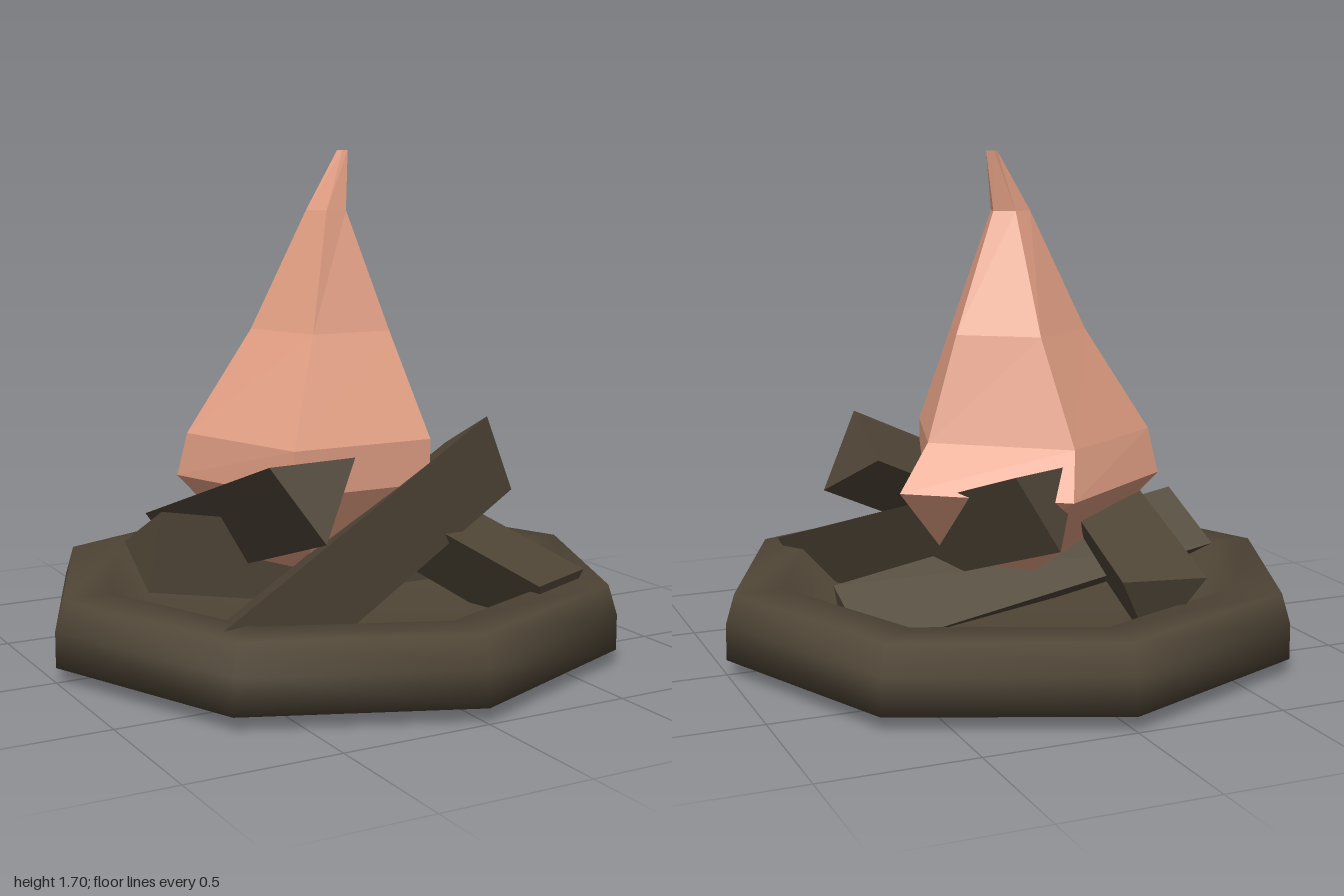
import * as THREE from 'three';
import { ConvexGeometry } from 'three/addons/geometries/ConvexGeometry.js';

// Faceted skin through equal-length rings (ordered clockwise from above), capped at both ends
function loft(rings) {
  const pos = [];
  const tri = (a, b, c) => pos.push(...a, ...b, ...c);
  const n = rings[0].length;
  for (let r = 0; r < rings.length - 1; r++) {
    const lo = rings[r], up = rings[r + 1];
    for (let i = 0; i < n; i++) {
      const j = (i + 1) % n;
      tri(lo[j], lo[i], up[i]);
      tri(lo[j], up[i], up[j]);
    }
  }
  const first = rings[0], last = rings[rings.length - 1];
  for (let i = 1; i < n - 1; i++) {
    tri(first[0], first[i], first[i + 1]);
    tri(last[0], last[i + 1], last[i]);
  }
  const g = new THREE.BufferGeometry();
  g.setAttribute('position', new THREE.Float32BufferAttribute(pos, 3));
  g.computeVertexNormals();
  return g;
}

// Three-sided log: a triangular raised end swept along an offset to the low end
function logGeometry(end, offset) {
  const d = new THREE.Vector3(...offset);
  const top = end.map(p => new THREE.Vector3(...p));
  return new ConvexGeometry([...top, ...top.map(p => p.clone().add(d))]);
}

export function createModel() {
  const wood = new THREE.MeshStandardMaterial({ color: 0x504637 });
  wood.name = 'charred wood';
  const fire = new THREE.MeshStandardMaterial({ color: 0xe29f84, flatShading: true });
  fire.name = 'flame orange';

  const model = new THREE.Group();
  model.name = 'campfire';
  const add = (name, geometry, material) => {
    const mesh = new THREE.Mesh(geometry, material);
    mesh.name = name;
    model.add(mesh);
  };

  // Eight-sided fire bowl with a raised, softly shaded rim
  const profile = [[0, 0.05], [1, 0.05], [1, 0.17], [0.97, 0.27], [0.8, 0.27], [0.67, 0.15], [0, 0.15]];
  add('bowl', new THREE.LatheGeometry(profile.map(p => new THREE.Vector2(...p)), 8), wood);

  // Logs leaning on each other around the centre
  const logs = [
    ['frontLog', [[0.46, 0.8, 0.29], [0.46, 0.67, 0.03], [0.58, 0.53, 0.27]], [-1.13, -0.53, 0.28]],
    ['rightLog', [[-0.48, 0.74, 0.5], [-0.19, 0.75, 0.52], [-0.33, 0.5, 0.59]], [0.09, -0.38, -1.21]],
    ['leftLog', [[-0.07, 0.7, -0.42], [0.2, 0.7, -0.54], [0.05, 0.45, -0.55]], [0.47, -0.4, 1.11]],
    ['backLog', [[-0.65, 0.24, -0.06], [-0.6, 0.51, -0.06], [-0.63, 0.36, -0.32]], [1.25, -0.23, 0]],
  ];
  for (const [name, end, offset] of logs) add(name, logGeometry(end, offset), wood);

  // Five-sided flame: height, then x, z of each corner
  const levels = [
    [0.3, [-0.23, -0.08], [0, -0.22], [0.22, -0.075], [0.12, 0.17], [-0.14, 0.17]],
    [0.6, [-0.48, -0.2], [0, -0.54], [0.46, -0.19], [0.2, 0.34], [-0.31, 0.34]],
    [0.75, [-0.46, -0.16], [-0.05, -0.44], [0.34, -0.13], [0.2, 0.34], [-0.31, 0.34]],
    [1.1, [-0.24, -0.11], [0, -0.28], [0.23, -0.11], [0.14, 0.17], [-0.15, 0.17]],
    [1.5, [-0.07, -0.03], [0, -0.07], [0.06, -0.02], [0.04, 0.05], [-0.04, 0.06]],
    [1.7, [0.05, -0.03], [0.07, -0.05], [0.09, -0.03], [0.08, -0.01], [0.06, -0.01]],
  ];
  add('flame', loft(levels.map(([y, ...ring]) => ring.map(([x, z]) => [x, y, z]))), fire);

  return model;
}
